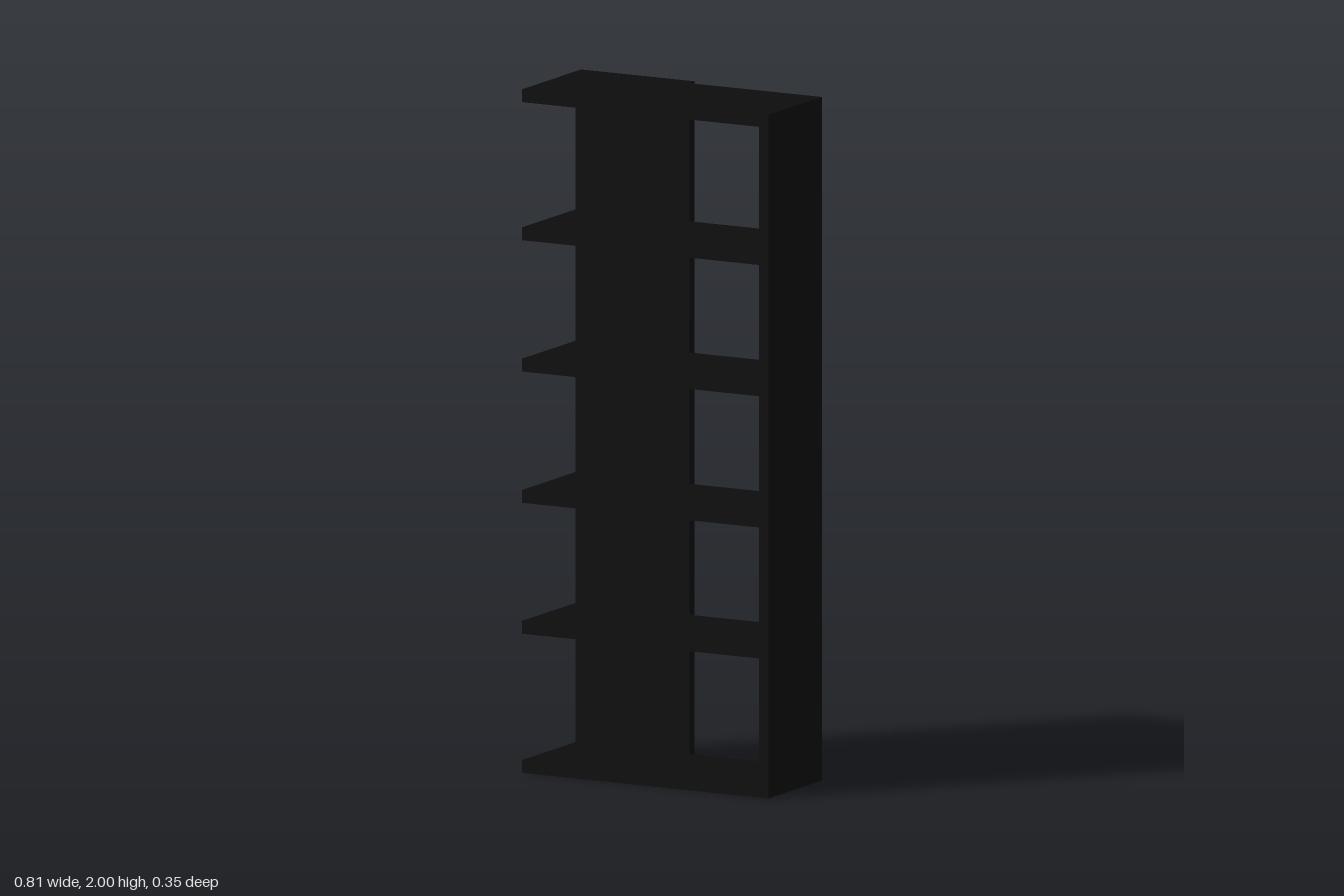
import * as THREE from 'three';

export function createModel() {
  const group = new THREE.Group();
  const material = new THREE.MeshStandardMaterial({ color: 0x0d0d0d });

  // Board spanning the given x, y and z ranges
  function board(name, [x0, x1], [y0, y1], [z0, z1]) {
    const mesh = new THREE.Mesh(new THREE.BoxGeometry(x1 - x0, y1 - y0, z1 - z0), material);
    mesh.position.set((x0 + x1) / 2, (y0 + y1) / 2, (z0 + z1) / 2);
    mesh.name = name;
    group.add(mesh);
  }

  const depth = [-0.142, 0.173];

  // Upright side on the left, and the partial back panel on the right
  board('sidePanel', [0.375, 0.405], [0, 2], depth);
  board('backPanel', [-0.405, -0.031], [0, 2], [-0.174, -0.142]);

  // Base, four shelves and top, open at the right end
  const names = ['base', 'shelf1', 'shelf2', 'shelf3', 'shelf4', 'top'];
  const bottoms = [0, 0.407, 0.79, 1.174, 1.558, 1.962];
  bottoms.forEach((y, i) => board(names[i], [-0.405, 0.375], [y, y + 0.038], depth));

  return group;
}
